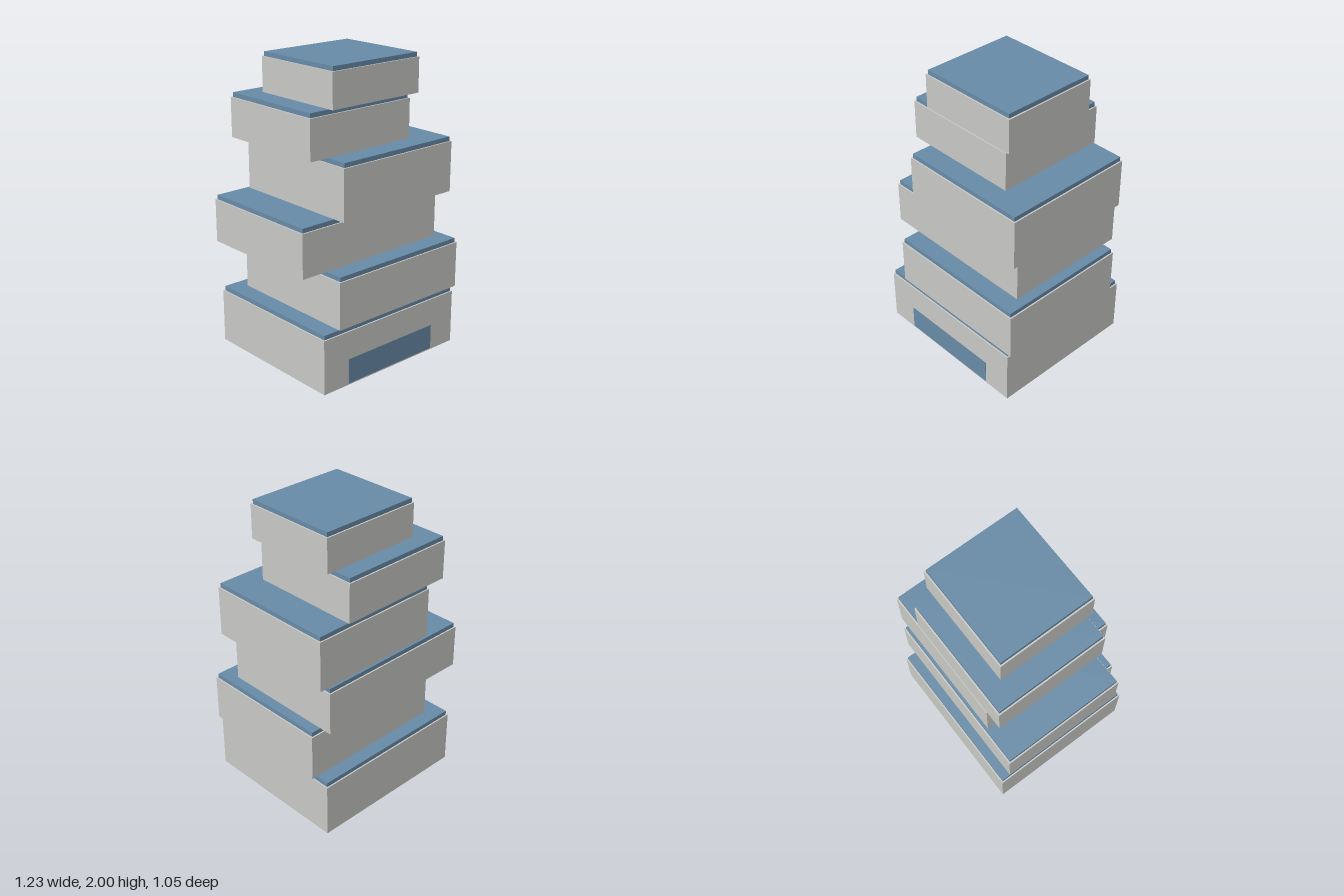
import * as THREE from 'three';

const wallGrey = new THREE.MeshStandardMaterial({ color: 0xc9c9c6, side: THREE.DoubleSide });
wallGrey.name = 'wall grey';
const roofBlue = new THREE.MeshStandardMaterial({ color: 0x688ba7, side: THREE.DoubleSide });
roofBlue.name = 'roof blue';

const ROOF = 0.03;   // roof slab thickness
const INSET = 0.01;  // roof slab margin inside the walls

// Each storey: left, right, back, front, base height, roof top height
const STOREYS = [
  [-0.563, 0.587, -0.524, 0.522, 0, 0.399],
  [-0.433, 0.614, -0.42, 0.522, 0.399, 0.747],
  [-0.615, 0.534, -0.498, 0.388, 0.747, 1.07],
  [-0.354, 0.587, -0.472, 0.468, 1.07, 1.442],
  [-0.484, 0.35, -0.472, 0.312, 1.442, 1.738],
  [-0.327, 0.402, -0.34, 0.336, 1.738, 2],
];

// Box with no underside, spanning the given bounds
function openBox(x0, x1, z0, z1, y0, y1) {
  const geometry = new THREE.BoxGeometry(x1 - x0, y1 - y0, z1 - z0);
  const index = Array.from(geometry.index.array);
  index.splice(18, 6); // drop the bottom face
  geometry.setIndex(index);
  geometry.clearGroups();
  return geometry.translate((x0 + x1) / 2, (y0 + y1) / 2, (z0 + z1) / 2);
}

function addMesh(parent, name, geometry, material) {
  const mesh = new THREE.Mesh(geometry, material);
  mesh.name = name;
  parent.add(mesh);
  return mesh;
}

export function createModel() {
  const model = new THREE.Group();
  model.name = 'stackedTower';

  // Shifted storeys, each a hollow wall box with an inset roof slab
  STOREYS.forEach(([x0, x1, z0, z1, y0, y1], i) => {
    const storey = new THREE.Group();
    storey.name = `storey${i + 1}`;
    const eaves = y1 - ROOF;
    addMesh(storey, 'walls', openBox(x0, x1, z0, z1, y0, eaves), wallGrey);
    addMesh(storey, 'roof',
      openBox(x0 + INSET, x1 - INSET, z0 + INSET, z1 - INSET, eaves, y1), roofBlue);
    model.add(storey);
  });

  // Wide entrance panel on the ground floor front
  const entrance = addMesh(model, 'entrance', new THREE.BoxGeometry(0.745, 0.17, 0.002), roofBlue);
  entrance.position.set(0.012, 0.095, 0.5235);

  return model;
}
